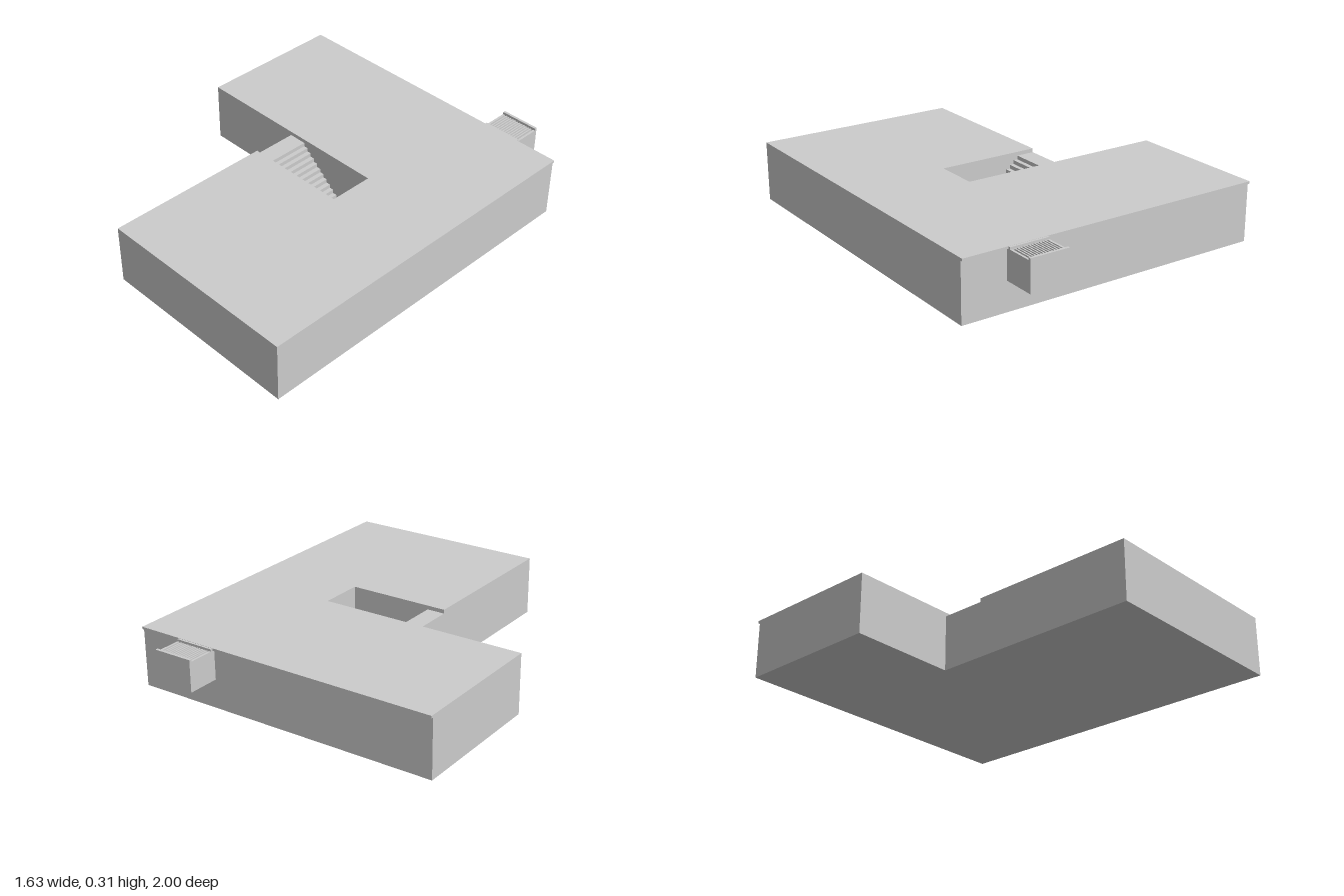
import * as THREE from 'three';

const H = 0.31;            // overall height
const LIP = 0.012;         // thickness of the top slab
const WELL = { x0: -0.255, x1: 0.28, z0: -0.09, z1: 0.14 };

export function createModel() {
  const model = new THREE.Group();
  const material = new THREE.MeshStandardMaterial({ color: 0xcccccc, flatShading: true });

  const add = (name, geometry, parent = model) => {
    const mesh = new THREE.Mesh(geometry, material);
    mesh.name = name;
    parent.add(mesh);
    return mesh;
  };
  const box = (name, x0, x1, y0, y1, z0, z1, parent) => {
    const geometry = new THREE.BoxGeometry(x1 - x0, y1 - y0, z1 - z0);
    geometry.translate((x0 + x1) / 2, (y0 + y1) / 2, (z0 + z1) / 2);
    return add(name, geometry, parent);
  };

  // L-shaped floor plan with the stairwell cut into its inner corner
  const plan = (back, y0, y1) => {
    const outline = [
      [-0.813, back], [0.813, back], [0.813, 1], [WELL.x0, 1],
      [WELL.x0, WELL.z1], [WELL.x1, WELL.z1], [WELL.x1, WELL.z0], [-0.813, WELL.z0],
    ];
    const shape = new THREE.Shape(outline.map(([x, z]) => new THREE.Vector2(x, -z)));
    const geometry = new THREE.ExtrudeGeometry(shape, { depth: y1 - y0, bevelEnabled: false });
    return geometry.rotateX(-Math.PI / 2).translate(0, y0, 0);
  };
  add('basementBody', plan(-0.832, 0, H - LIP));
  add('topSlab', plan(-0.843, H - LIP, H));

  // Stairs: a landing just below the slab, then steps down to the floor
  const steps = 13, firstX = -0.16, lastX = 0.137, topY = 0.29, floorY = 0.01;
  const run = (lastX - firstX) / steps, rise = (topY - floorY) / (steps + 1);
  const profile = new THREE.Shape();
  profile.moveTo(WELL.x0, 0);
  profile.lineTo(WELL.x1, 0);
  profile.lineTo(WELL.x1, floorY);
  for (let i = steps; i >= 0; i--) {
    const x = firstX + i * run;
    profile.lineTo(x, topY - (i + 1) * rise);
    profile.lineTo(x, topY - i * rise);
  }
  profile.lineTo(WELL.x0, topY);
  const stairs = new THREE.ExtrudeGeometry(profile, { depth: WELL.z1 - WELL.z0, bevelEnabled: false });
  add('stairs', stairs.translate(0, 0, WELL.z0));

  // Light shaft hanging on the back wall
  const shaft = new THREE.Group();
  shaft.name = 'lightShaft';
  model.add(shaft);
  const x0 = 0.375, x1 = 0.58, z0 = -1, z1 = -0.832, y0 = 0.148, y1 = 0.298, t = 0.012;
  box('shaftFloor', x0, x1, y0, y0 + t, z0, z1, shaft);
  box('shaftBackWall', x0, x1, y0 + t, y1, z0, z0 + t, shaft);
  box('shaftLeftWall', x1 - t, x1, y0 + t, y1, z0 + t, z1, shaft);
  box('shaftRightWall', x0, x0 + t, y0 + t, y1, z0 + t, z1, shaft);

  // Grating: raised end rails joined by narrow bars
  box('outerRail', x0, x1, y1, H, z0, z0 + 0.014, shaft);
  box('innerRail', x0, x1, y1 - 0.01, H - 0.001, -0.855, z1, shaft);
  const bars = 12;
  for (let i = 0; i < bars; i++) {
    const x = 0.398 + i * (0.555 - 0.398) / (bars - 1);
    box('gratingBar', x - 0.0035, x + 0.0035, y1 - 0.012, y1, z0 + t, -0.855, shaft);
  }
  return model;
}
